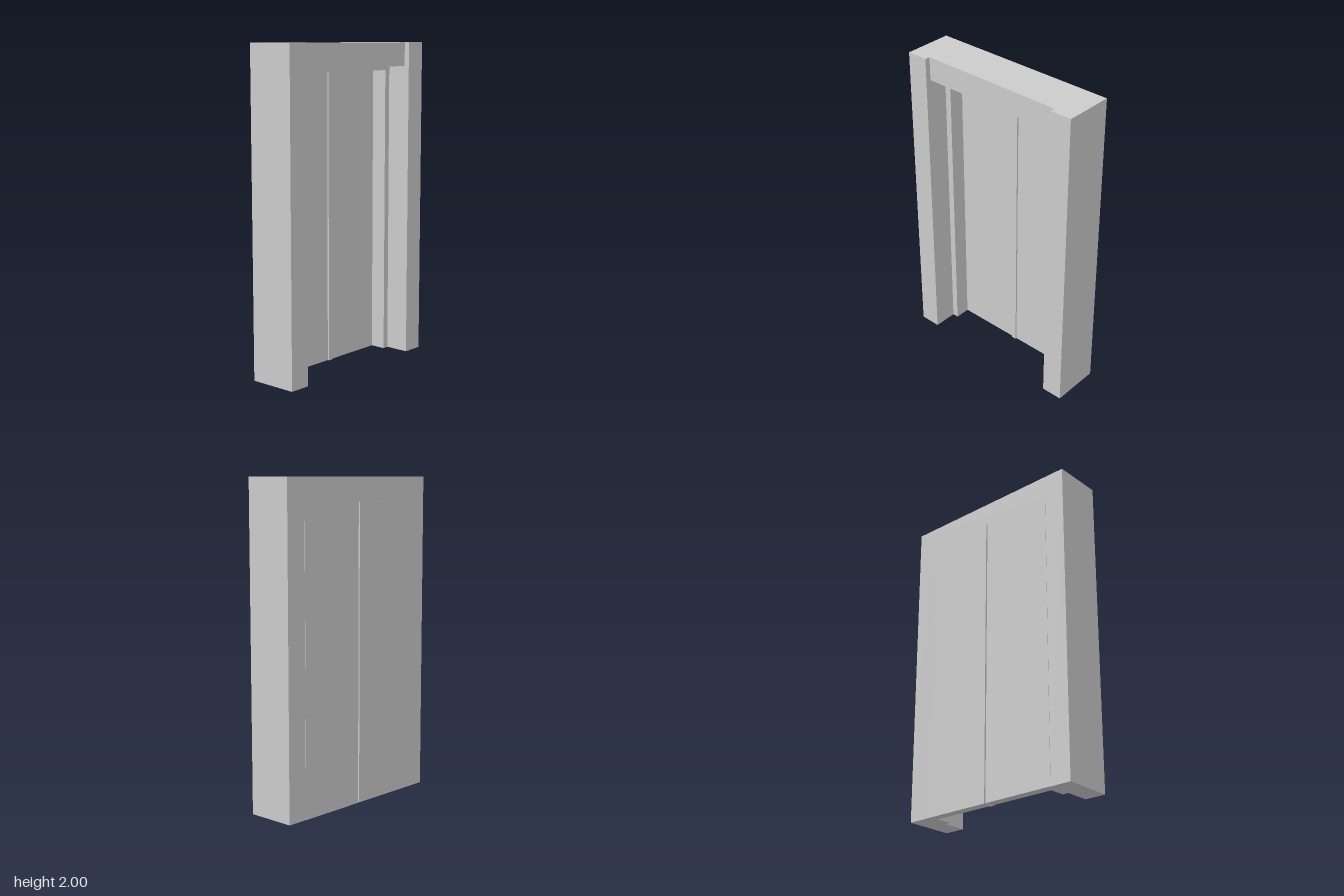
import * as THREE from 'three';

const material = new THREE.MeshStandardMaterial({ color: 0xcccccc, flatShading: true });

// Box given by its minimum and maximum corners
function block(name, [x0, y0, z0], [x1, y1, z1]) {
  const geometry = new THREE.BoxGeometry(x1 - x0, y1 - y0, z1 - z0);
  geometry.translate((x0 + x1) / 2, (y0 + y1) / 2, (z0 + z1) / 2);
  const mesh = new THREE.Mesh(geometry, material);
  mesh.name = name;
  return mesh;
}

// U-shaped frame, open at the floor, extruded from z0 to z1
function portal(name, outerX, outerY, innerX, innerY, z0, z1) {
  const shape = new THREE.Shape([
    [-outerX, 0], [-innerX, 0], [-innerX, innerY], [innerX, innerY],
    [innerX, 0], [outerX, 0], [outerX, outerY], [-outerX, outerY],
  ].map(([x, y]) => new THREE.Vector2(x, y)));
  const geometry = new THREE.ExtrudeGeometry(shape, { depth: z1 - z0, bevelEnabled: false });
  geometry.translate(0, 0, z0);
  const mesh = new THREE.Mesh(geometry, material);
  mesh.name = name;
  return mesh;
}

export function createModel() {
  const group = new THREE.Group();
  group.name = 'doubleDoorway';

  const back = -0.156, front = 0.156;
  const outer = 0.607, opening = 0.471, head = 1.852;
  const doorFront = -0.1, doorBack = -0.158;

  // Surround: main wall frame with pilasters standing proud of the lintel
  group.add(portal('wallFrame', outer, 2, opening, head, back, 0.123));
  for (const [name, x0, x1] of [['rightPilaster', -outer, -opening], ['leftPilaster', opening, outer]]) {
    group.add(block(name, [x0, 0, 0.123], [x1, 2, front]));
  }

  // Door stop lining the opening in front of the leaves
  group.add(portal('doorStop', opening, head, 0.431, 1.825, doorFront, 0));

  // Two leaves with a narrow gap, covered on the front by a thin strip
  group.add(block('rightDoor', [-opening, 0, doorBack], [0.002, head, doorFront]));
  group.add(block('leftDoor', [0.012, 0, doorBack], [opening, head, doorFront]));
  group.add(block('meetingStrip', [-0.01, 0, doorFront], [0.023, 1.825, doorFront + 0.01]));

  return group;
}
